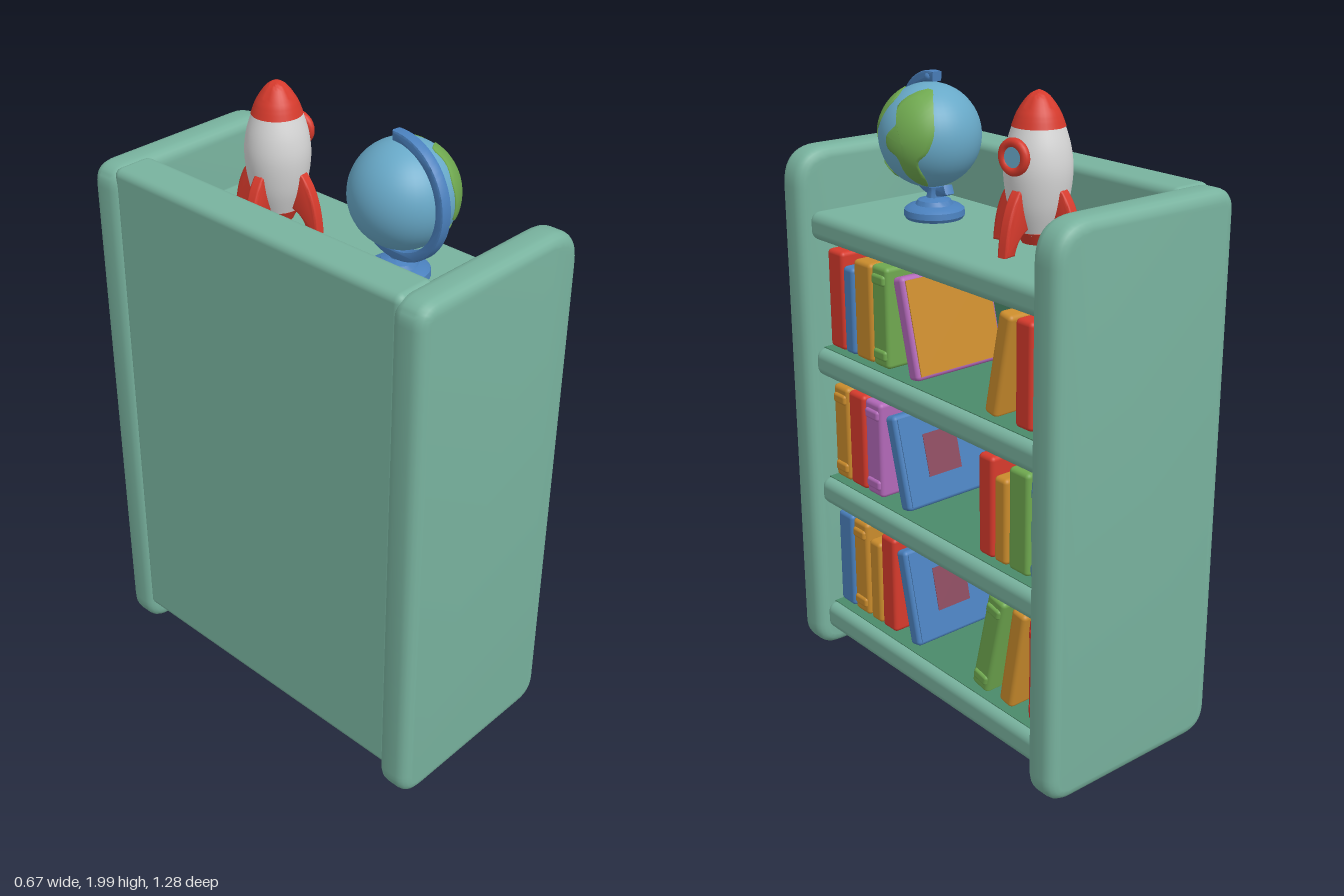
import * as THREE from 'three';
import { toCreasedNormals } from 'three/addons/utils/BufferGeometryUtils.js';
import { RoundedBoxGeometry } from 'three/addons/geometries/RoundedBoxGeometry.js';

const mat = (name, color, side = THREE.FrontSide) => {
  const m = new THREE.MeshStandardMaterial({ color, side });
  m.name = name;
  return m;
};

export function createModel() {
  const M = {
    frame: mat('sage green', 0x78b29e),
    inner: mat('deep green', 0x4a8a6a),
    red: mat('red', 0xd63a2c),
    blue: mat('blue', 0x4a80bd),
    orange: mat('ochre', 0xc98b2c),
    leaf: mat('leaf green', 0x6fa84f, THREE.DoubleSide),
    purple: mat('purple', 0xb268b8),
    ocean: mat('ocean blue', 0x68a9c8),
    white: mat('white', 0xd6d6d6),
    maroon: mat('maroon', 0x8a4a5e),
  };
  const model = new THREE.Group();
  model.name = 'bookcase';

  const add = (parent, name, geo, material, x = 0, y = 0, z = 0) => {
    const m = new THREE.Mesh(geo, material);
    m.name = name;
    m.position.set(x, y, z);
    parent.add(m);
    return m;
  };
  const group = (parent, name, x = 0, y = 0, z = 0) => {
    const g = new THREE.Group();
    g.name = name;
    g.position.set(x, y, z);
    parent.add(g);
    return g;
  };
  const box = (w, h, d, r) => new RoundedBoxGeometry(w, h, d, 3, r);
  const bevelled = (shape, depth, bevel) => {
    const g = new THREE.ExtrudeGeometry(shape, {
      depth: depth - 2 * bevel, bevelEnabled: true, bevelSize: bevel, bevelThickness: bevel,
      bevelOffset: -bevel, bevelSegments: 4, curveSegments: 10,
    });
    g.translate(0, 0, bevel - depth / 2);
    return toCreasedNormals(g, 0.7);
  };

  // Side panels: rounded rectangles, rounder at the open top corner
  const s = new THREE.Shape();
  const [x0, x1, y0, y1] = [-0.333, 0.333, 0.005, 1.745];
  s.moveTo(x0 + 0.09, y0);
  s.lineTo(x1 - 0.09, y0).quadraticCurveTo(x1, y0, x1, y0 + 0.09);
  s.lineTo(x1, y1 - 0.12).quadraticCurveTo(x1, y1, x1 - 0.12, y1);
  s.lineTo(x0 + 0.07, y1).quadraticCurveTo(x0, y1, x0, y1 - 0.07);
  s.lineTo(x0, y0 + 0.09).quadraticCurveTo(x0, y0, x0 + 0.09, y0);
  const sideGeo = bevelled(s, 0.11, 0.035);
  for (const k of [1, -1]) add(model, k > 0 ? 'leftSidePanel' : 'rightSidePanel', sideGeo, M.frame, 0, 0, k * 0.587);

  // Back panel and shelves
  add(model, 'backPanel', box(0.14, 1.655, 1.12, 0.025), M.frame, -0.25, 0.9175, 0);
  const shelves = [[0.08, 0.175], [0.555, 0.645], [1.01, 1.1], [1.46, 1.55]];
  for (const [a, b] of shelves) add(model, 'shelf', box(0.55, b - a, 1.1, 0.03), M.frame, 0.022, (a + b) / 2, 0);

  // Dark lining of each compartment: back, floor and ceiling
  for (let i = 0; i < 3; i++) {
    const lo = shelves[i][1], hi = shelves[i + 1][0];
    add(model, 'compartmentBack', new THREE.BoxGeometry(0.006, hi - lo, 1.07), M.inner, -0.178, (lo + hi) / 2, 0);
    for (const [n, y] of [['compartmentFloor', lo], ['compartmentCeiling', hi]])
      add(model, n, new THREE.BoxGeometry(0.445, 0.005, 1.07), M.inner, 0.045, y, 0);
  }

  // Books: colour, z at the foot, z at the head, thickness, height, banded, cover colour, cover side
  const rows = [
    [['blue', 0.495, 0.495, 0.08, 0.34], ['orange', 0.41, 0.41, 0.08, 0.34, 1], ['orange', 0.33, 0.33, 0.06, 0.295],
      ['red', 0.257, 0.257, 0.074, 0.34], ['blue', 0.115, 0.188, 0.05, 0.315, 0, 'blue', -1],
      ['leaf', -0.21, -0.292, 0.076, 0.345, 1, 'ocean', 1], ['orange', -0.332, -0.392, 0.06, 0.34],
      ['red', -0.482, -0.482, 0.092, 0.34, 1]],
    [['orange', 0.493, 0.493, 0.08, 0.325, 1], ['red', 0.407, 0.407, 0.085, 0.325], ['purple', 0.315, 0.315, 0.086, 0.325, 1],
      ['blue', 0.15, 0.228, 0.05, 0.3, 0, 'blue', -1], ['red', -0.242, -0.242, 0.066, 0.325, 0, 'purple', 1],
      ['orange', -0.308, -0.308, 0.056, 0.275], ['leaf', -0.388, -0.388, 0.086, 0.325], ['blue', -0.484, -0.484, 0.088, 0.32, 1]],
    [['red', 0.495, 0.495, 0.082, 0.325], ['blue', 0.427, 0.427, 0.054, 0.285], ['orange', 0.35, 0.35, 0.09, 0.32],
      ['leaf', 0.26, 0.26, 0.08, 0.325, 1], ['purple', 0.093, 0.17, 0.05, 0.31, 0, 'orange', -1],
      ['orange', -0.262, -0.328, 0.055, 0.32, 0, 'orange', 1], ['red', -0.405, -0.405, 0.07, 0.32],
      ['orange', -0.487, -0.487, 0.085, 0.32, 1]],
  ];
  rows.forEach((row, i) => {
    for (const [color, zb, zt, w, h, bands, cover, side] of row) {
      const g = group(model, 'book', 0.07, shelves[i][1], zb);
      g.rotation.x = Math.atan2(zt - zb, h);
      const len = Math.hypot(zt - zb, h);
      add(g, 'bookBody', box(0.34, len, w, 0.014), M[color], 0, len / 2, 0);
      if (bands) for (const t of [0.13, 0.87])
        add(g, 'spineBand', box(0.03, 0.035, w * 0.8, 0.01), M[color], 0.163, len * t, 0);
      if (cover) {
        const z = side * (w / 2 + 0.001);
        add(g, 'cover', new THREE.BoxGeometry(0.315, len - 0.025, 0.004), M[cover], 0, len / 2, z);
        if (color === 'blue' || color === 'leaf')
          add(g, 'coverPatch', new THREE.BoxGeometry(0.13, len * 0.45, 0.008), M.maroon, 0.01, len * 0.52, z);
      }
    }
  });

  // Globe on a stepped stand
  const globe = group(model, 'globe', 0.047, 1.803, 0.243);
  const R = 0.156;
  add(globe, 'ocean', new THREE.SphereGeometry(R, 40, 28), M.ocean);
  const stand = [[0, -0.253], [0.088, -0.253], [0.094, -0.243], [0.092, -0.225], [0.08, -0.216], [0.058, -0.211],
    [0.05, -0.198], [0.024, -0.19], [0.02, -0.17], [0.022, -0.158], [0, -0.156]].map((p) => new THREE.Vector2(...p));
  add(globe, 'globeStand', toCreasedNormals(new THREE.LatheGeometry(stand, 32), 0.6), M.blue, -0.01, 0, -0.003);

  // Meridian arm: a flat band bent from the top pole round to the stand
  const arc = new THREE.Shape();
  const [aStart, aEnd] = [1.48, 5.15];
  arc.absarc(0, 0, 0.188, aStart, aEnd, false);
  arc.absarc(0, 0, 0.158, aEnd, aStart, true);
  const armGeo = new THREE.ExtrudeGeometry(arc, {
    depth: 0.022, bevelSize: 0.006, bevelOffset: -0.006, bevelThickness: 0.006, bevelSegments: 2, curveSegments: 32,
  });
  armGeo.translate(0, 0, -0.011);
  const arm = add(globe, 'globeArm', toCreasedNormals(armGeo, 0.7), M.blue, -0.02, 0, 0);
  arm.rotation.y = Math.PI / 2 - 0.1;
  const knob = add(globe, 'poleKnob', new THREE.SphereGeometry(0.02, 16, 12), M.blue, -0.018, 0.168, 0.015);
  knob.scale.y = 0.8;

  // Continents: outlines seen from the open side, wrapped onto the sphere in rings
  const continent = (pts) => {
    const closed = new THREE.CatmullRomCurve3(pts.map(([a, b]) => new THREE.Vector3(a, b, 0)), true, 'centripetal');
    const N = 48, K = 8, rim = closed.getPoints(N), c = new THREE.Vector3();
    rim.slice(0, N).forEach((p) => c.addScaledVector(p, 1 / N));
    const pos = [], idx = [];
    for (let k = 0; k <= K + 1; k++) for (let j = 0; j <= N; j++) {
      const p = c.clone().lerp(rim[j], Math.min(k / K, 1));
      if (p.length() > 0.985) p.setLength(0.985);
      const r = R * (k > K ? 0.99 : 1.025);
      pos.push(r * Math.sqrt(1 - p.lengthSq()), r * p.y, -r * p.x);
      if (k <= K && j < N) {
        const q = k * (N + 1) + j;
        idx.push(q, q + N + 1, q + 1, q + 1, q + N + 1, q + N + 2);
      }
    }
    const g = new THREE.BufferGeometry();
    g.setAttribute('position', new THREE.Float32BufferAttribute(pos, 3));
    g.setIndex(idx);
    g.computeVertexNormals();
    return g;
  };
  const lands = [
    [[-0.02, 0.1], [0.2, 0.35], [0.05, 0.66], [0.3, 0.92], [0.62, 0.68], [0.82, 0.2], [0.75, -0.15], [0.58, -0.35],
      [0.5, -0.7], [0.32, -0.88], [0.24, -0.6], [0.22, -0.28], [0, -0.12]],
    [[-0.97, 0], [-0.9, 0.38], [-0.7, 0.66], [-0.4, 0.88], [-0.18, 0.78], [-0.32, 0.5], [-0.48, 0.22], [-0.7, 0.08],
      [-0.78, -0.25], [-0.9, -0.32]],
    [[-0.72, -0.55], [-0.5, -0.5], [-0.32, -0.68], [-0.42, -0.82], [-0.62, -0.75]],
  ];
  for (const l of lands) add(globe, 'continent', continent(l), M.leaf);

  // Toy rocket
  const rocket = group(model, 'rocket', 0.043, 1.55, -0.24);
  rocket.rotation.y = 0.15;
  const lathe = (pts) => toCreasedNormals(new THREE.LatheGeometry(
    new THREE.SplineCurve(pts.map((p) => new THREE.Vector2(...p))).getPoints(20), 32), 0.8);
  add(rocket, 'rocketBody', lathe([[0.058, 0.05], [0.085, 0.13], [0.098, 0.22], [0.092, 0.29], [0.073, 0.355]]), M.white);
  add(rocket, 'rocketNose', lathe([[0.076, 0.35], [0.06, 0.39], [0.03, 0.432], [0.001, 0.449]]), M.red);
  add(rocket, 'rocketNozzle', new THREE.CylinderGeometry(0.062, 0.045, 0.035, 24), M.red, 0, 0.04, 0);
  const fin = new THREE.Shape();
  fin.moveTo(0.075, 0.2);
  fin.quadraticCurveTo(0.145, 0.15, 0.155, 0.005);
  fin.lineTo(0.115, 0.005);
  fin.quadraticCurveTo(0.1, 0.06, 0.05, 0.07);
  const finGeo = bevelled(fin, 0.036, 0.008);
  for (let i = 0; i < 4; i++) add(rocket, 'rocketFin', finGeo, M.red).rotation.y = i * Math.PI / 2;
  const port = group(rocket, 'porthole', 0.092, 0.275, 0.01);
  port.rotation.set(0, Math.PI / 2, 0);
  add(port, 'portholeRing', new THREE.TorusGeometry(0.04, 0.014, 12, 28), M.red);
  add(port, 'portholeGlass', new THREE.CylinderGeometry(0.034, 0.034, 0.016, 24), M.ocean).rotation.x = Math.PI / 2;

  return model;
}
